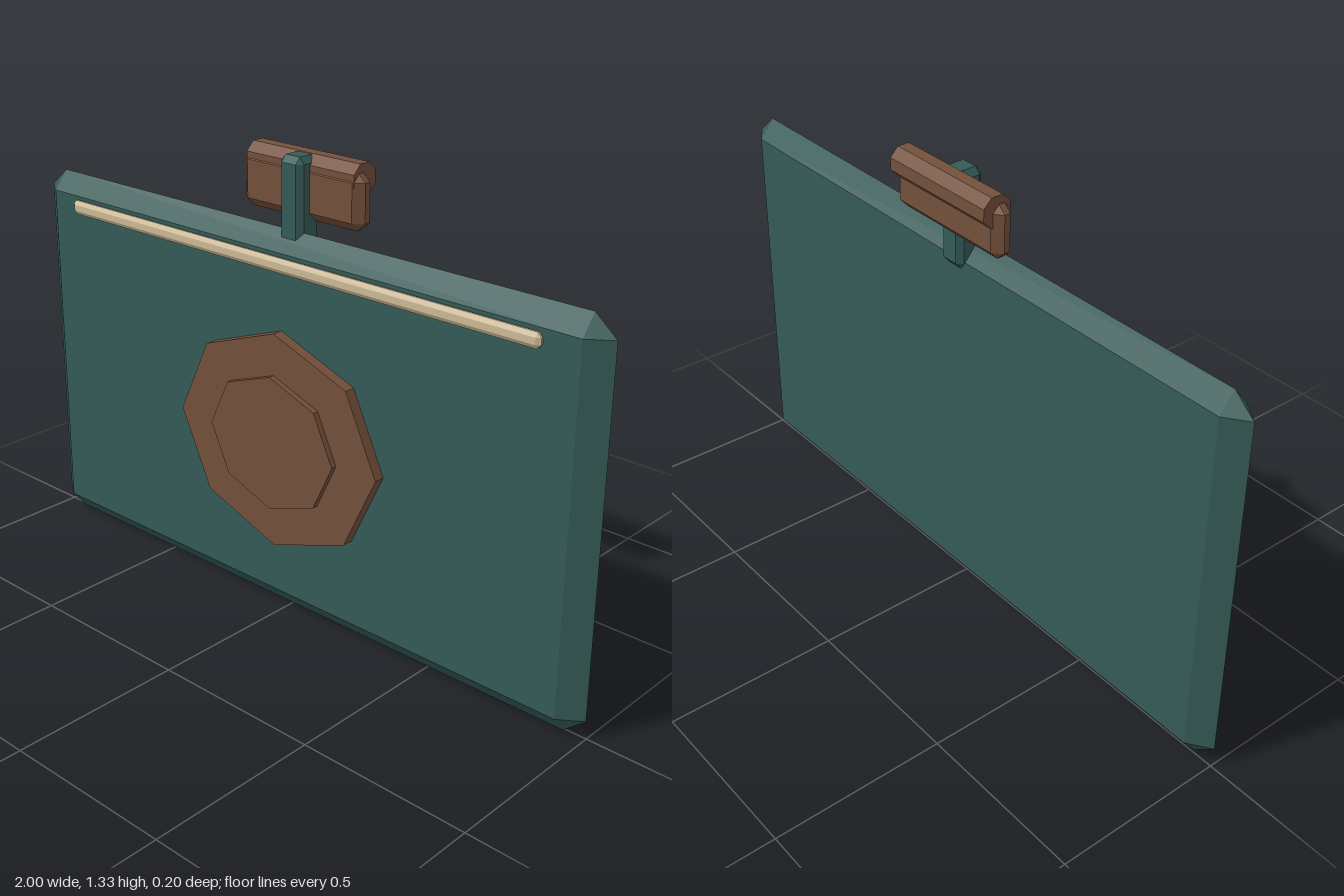
import * as THREE from 'three';
import { ConvexGeometry } from 'three/addons/geometries/ConvexGeometry.js';

const teal = new THREE.MeshStandardMaterial({ name: 'darkTeal', color: 0x355b57 });
const brown = new THREE.MeshStandardMaterial({ name: 'leatherBrown', color: 0x74503b });
const cream = new THREE.MeshStandardMaterial({ name: 'cream', color: 0xcdbb98 });
for (const m of [teal, brown, cream]) m.flatShading = true;

// Box with every edge and corner cut; min, max and cut are [x, y, z]
function chamferBox(min, max, cut) {
  const half = min.map((v, i) => (max[i] - v) / 2);
  const points = new Map();
  for (let axis = 0; axis < 3; axis++) {
    for (let corner = 0; corner < 8; corner++) {
      const p = half.map((h, i) => {
        const reach = i === axis ? h : Math.max(h - cut[i], 0);
        return (corner >> i) & 1 ? reach : -reach;
      });
      // Adding 0 merges the two signs of zero
      points.set(p.map(v => (v + 0).toFixed(5)).join(), new THREE.Vector3(...p));
    }
  }
  const g = new ConvexGeometry([...points.values()]);
  g.translate(...min.map((v, i) => (v + max[i]) / 2));
  return g;
}

// Flat eight-sided plate facing +z
function octagonPlate(rx, ry, y, z0, z1) {
  const g = new THREE.CylinderGeometry(1, 1, z1 - z0, 8);
  g.rotateX(Math.PI / 2);
  g.scale(rx, ry, 1);
  g.translate(0, y, (z0 + z1) / 2);
  return g;
}

export function createModel() {
  const group = new THREE.Group();
  const add = (name, geometry, material) => {
    const mesh = new THREE.Mesh(geometry, material);
    mesh.name = name;
    group.add(mesh);
  };

  // Main slab, its rim bevelled to a ridge
  add('panel', chamferBox([-1, 0.005, -0.037], [1, 1.13, 0.053], [0.065, 0.055, 0.045]), teal);

  // Pale strip along the top of the front
  add('trimStrip', chamferBox([-0.835, 1.025, 0.052], [0.835, 1.067, 0.074], [0.012, 0.012, 0.008]), cream);

  // Stepped medallion on the front
  add('medallionBase', octagonPlate(0.365, 0.318, 0.541, 0.05, 0.085), brown);
  add('medallionCentre', octagonPlate(0.228, 0.198, 0.541, 0.08, 0.102), brown);

  // Upright strap above the panel
  add('strap', chamferBox([-0.04, 1.055, -0.057], [0.04, 1.33, 0.025], [0.015, 0.018, 0.016]), teal);

  // Grip block and the roll behind its upper edge
  add('grip', chamferBox([-0.213, 1.155, -0.074], [0.213, 1.31, -0.012], [0.027, 0.024, 0.022]), brown);
  const roll = new THREE.CylinderGeometry(0.046, 0.046, 0.38, 8);
  roll.rotateY(Math.PI / 8);
  roll.rotateZ(Math.PI / 2);
  roll.translate(0, 1.289, -0.057);
  add('gripRoll', roll, brown);

  return group;
}
